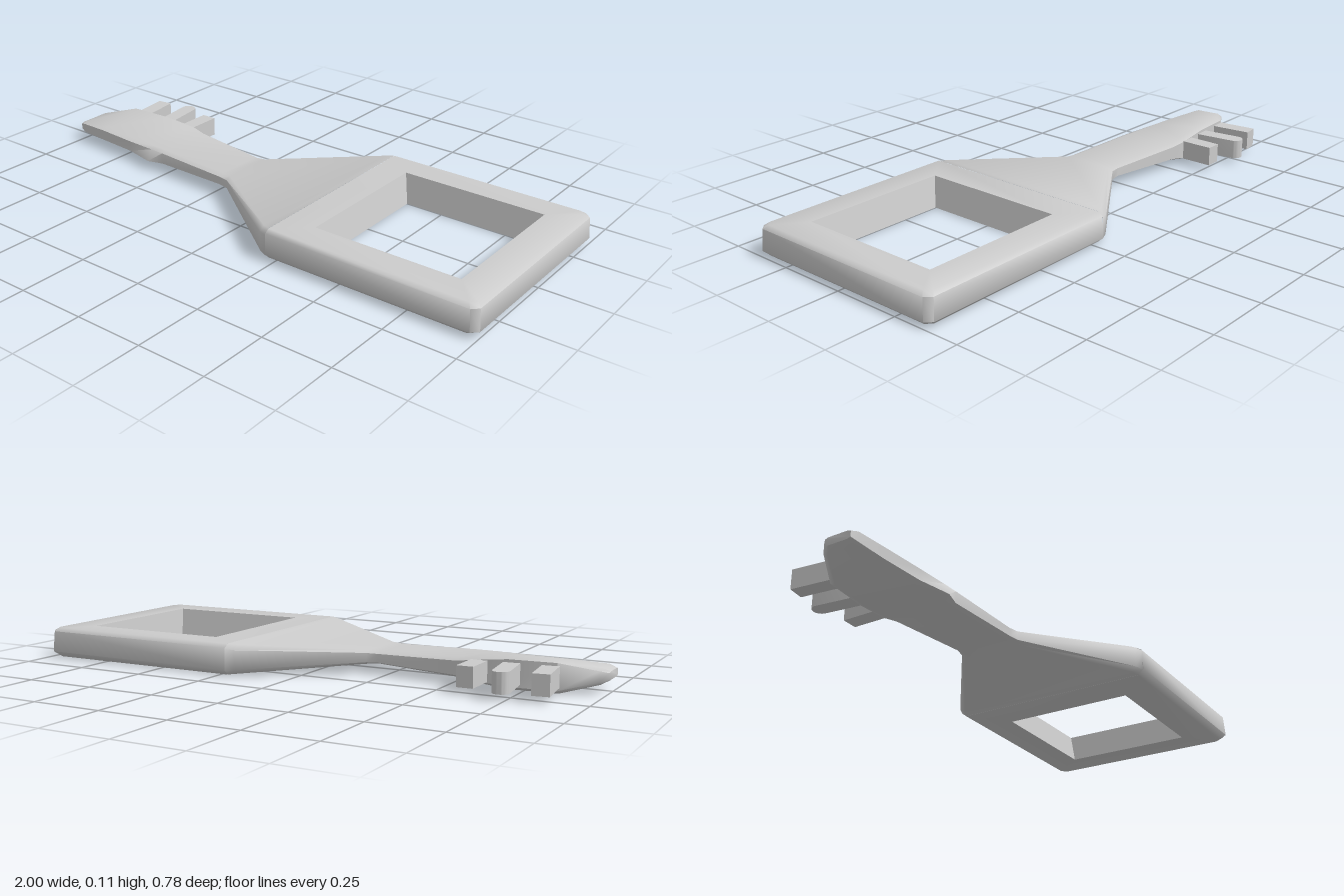
import * as THREE from 'three';
import { toCreasedNormals } from 'three/addons/utils/BufferGeometryUtils.js';

const MID = 0.054; // height of the key's middle plane
const material = new THREE.MeshStandardMaterial({ color: 0xcccccc });

// Skin a list of equal-length closed loops of [x, y, z] points
function loft(loops, capStart = false) {
  const n = loops[0].length, index = [];
  for (let i = 0; i < loops.length - 1; i++) {
    for (let j = 0; j < n; j++) {
      const k = (j + 1) % n;
      const a = i * n + j, b = i * n + k, c = b + n, d = a + n;
      index.push(a, d, c, a, c, b);
    }
  }
  if (capStart) for (let j = 1; j < n - 1; j++) index.push(0, j, j + 1);
  const g = new THREE.BufferGeometry();
  g.setAttribute('position', new THREE.Float32BufferAttribute(loops.flat(2), 3));
  g.setIndex(index);
  return toCreasedNormals(g, 0.95);
}

function addMesh(group, name, geometry) {
  const mesh = new THREE.Mesh(geometry, material);
  mesh.name = name;
  group.add(mesh);
  return mesh;
}

// Rectangle with its two outer corners cut off, at height y
function bowLoop(y, x0, x1, z, cut) {
  return [[x0, z], [x1 - cut, z], [x1, z - cut], [x1, cut - z], [x1 - cut, -z], [x0, -z]]
    .map(([px, pz]) => [px, y, pz]);
}

// Eight-sided section: edge and ridge half-heights, front and back
function bladeLoop([x, zBack, zFront, zLow, edgeF, ridgeF, ridgeB, edgeB, inset]) {
  return [
    [x, MID - edgeF, zLow], [x, MID + edgeF, zFront],
    [x, MID + ridgeF, zFront - inset], [x, MID + ridgeB, zBack + inset],
    [x, MID + edgeB, zBack], [x, MID - edgeB, zBack],
    [x, MID - ridgeB, zBack + inset], [x, MID - ridgeF, zFront - inset],
  ];
}

// Prong pointing to the back, optionally with a rounded tip
function toothGeometry(width, length, round) {
  const w = width / 2, s = new THREE.Shape();
  s.moveTo(-w, 0);
  s.lineTo(w, 0);
  if (round) {
    s.lineTo(w, length - w);
    s.absarc(0, length - w, w, 0, Math.PI, false);
  } else {
    s.lineTo(w, length);
    s.lineTo(-w, length);
  }
  s.closePath();
  const g = new THREE.ExtrudeGeometry(s, { depth: 0.07, bevelEnabled: false, curveSegments: 8 });
  g.rotateX(-Math.PI / 2);
  return toCreasedNormals(g, 0.6);
}

export function createModel() {
  const key = new THREE.Group();
  key.name = 'key';

  // Square bow with a tapered window
  const top = bowLoop(0.107, 0.335, 0.875, 0.27, 0);
  addMesh(key, 'bow', loft([
    top,
    bowLoop(0.107, 0.22, 0.978, 0.37, 0.02),
    bowLoop(0.095, 0.22, 0.994, 0.386, 0.022),
    bowLoop(0.02, 0.22, 1, 0.39, 0.022),
    bowLoop(0, 0.22, 0.978, 0.368, 0.02),
    bowLoop(0, 0.36, 0.863, 0.247, 0),
    top,
  ]));

  // Neck and wedge-shaped blade, from tip to bow
  addMesh(key, 'blade', loft([
    [-1, -0.045, 0.052, 0.052, 0.01, 0.014, 0.014, 0.01, 0.012],
    [-0.975, -0.07, 0.06, 0.06, 0.017, 0.024, 0.028, 0.018, 0.016],
    [-0.86, -0.138, 0.067, 0.067, 0.02, 0.027, 0.056, 0.045, 0.02],
    [-0.7, -0.148, 0.08, 0.08, 0.02, 0.027, 0.056, 0.045, 0.02],
    [-0.58, -0.155, 0.087, 0.107, 0.021, 0.028, 0.042, 0.033, 0.02],
    [-0.52, -0.145, 0.09, 0.09, 0.021, 0.028, 0.033, 0.024, 0.02],
    [-0.22, -0.11, 0.105, 0.105, 0.015, 0.022, 0.022, 0.015, 0.02],
    [-0.18, -0.117, 0.113, 0.113, 0.016, 0.024, 0.024, 0.016, 0.02],
    [0.19, -0.376, 0.376, 0.376, 0.034, 0.05, 0.05, 0.034, 0.02],
    [0.22, -0.388, 0.388, 0.388, 0.038, 0.0535, 0.0535, 0.038, 0.02],
  ].map(bladeLoop), true));

  // Three teeth along the back edge: x, length, lean, rounded tip
  [
    [-0.835, 0.175, 0.12, false],
    [-0.708, 0.21, 0.13, true],
    [-0.605, 0.165, 0, false],
  ].forEach(([x, length, lean, round], i) => {
    const tooth = addMesh(key, `tooth${i + 1}`, toothGeometry(0.057, length, round));
    tooth.position.set(x, MID - 0.035, -0.108);
    tooth.rotation.y = lean;
  });

  return key;
}
